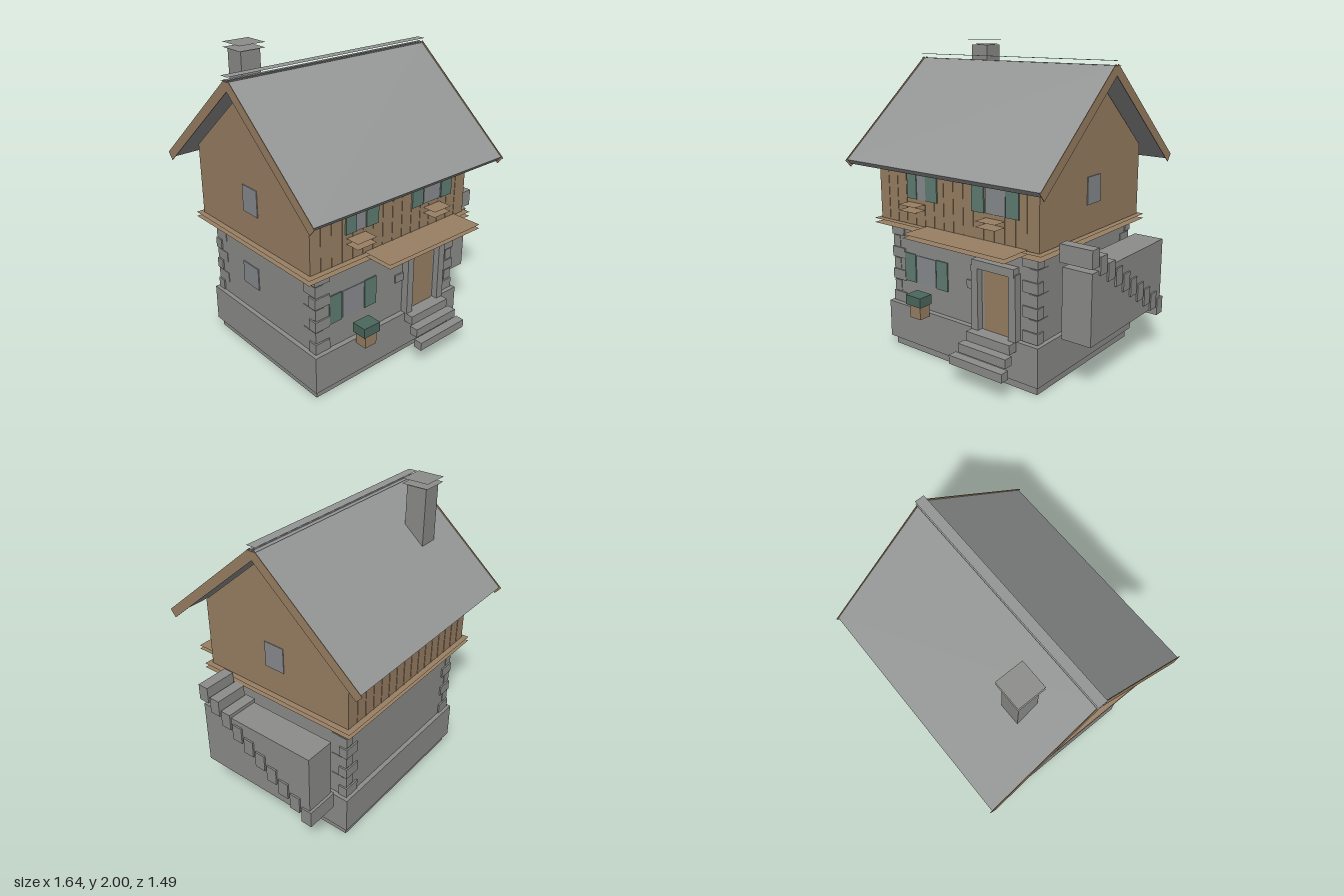
import * as THREE from 'three';

const mat = (name, color) => {
  const m = new THREE.MeshStandardMaterial({ color, side: THREE.DoubleSide });
  m.name = name;
  return m;
};

export function createModel() {
  const house = new THREE.Group();
  house.name = 'house';
  const stone = mat('stone grey', 0x8c8c8a);
  const roofing = mat('roof grey', 0x949695);
  const wood = mat('wood brown', 0x987f63);
  const green = mat('shutter green', 0x5f7d72);
  const leaf = mat('leaf green', 0x4b685e);
  const glass = mat('glass grey', 0x888b8f);

  const add = (name, geo, material, parent = house) => {
    const m = new THREE.Mesh(geo, material);
    m.name = name;
    parent.add(m);
    return m;
  };
  // box given by its limits on each axis
  const box = (name, material, x0, x1, y0, y1, z0, z1, parent) => {
    const m = add(name, new THREE.BoxGeometry(x1 - x0, y1 - y0, z1 - z0), material, parent);
    m.position.set((x0 + x1) / 2, (y0 + y1) / 2, (z0 + z1) / 2);
    return m;
  };
  // pair of horizontal sheets: a box without its four sides
  const sheets = (...args) => {
    const m = box(...args);
    m.geometry.setIndex(Array.from(m.geometry.index.array).slice(12, 24));
    m.geometry.clearGroups();
    return m;
  };
  // profile in (z, y) extruded from x0 to x1
  const extrudeX = (name, pts, x0, x1, material) => {
    const shape = new THREE.Shape(pts.map(([z, y]) => new THREE.Vector2(-z, y)));
    const geo = new THREE.ExtrudeGeometry(shape, { depth: x1 - x0, bevelEnabled: false });
    geo.rotateY(Math.PI / 2);
    geo.translate(x0, 0, 0);
    return add(name, geo, material);
  };

  // stone lower storey
  box('footing', stone, -0.64, 0.53, 0, 0.06, -0.525, 0.5);
  box('plinth', stone, -0.665, 0.555, 0.06, 0.31, -0.55, 0.53);
  box('stoneWalls', stone, -0.635, 0.525, 0.31, 0.845, -0.52, 0.495);

  // corner stones, alternating long and short
  const quoins = new THREE.Group();
  quoins.name = 'cornerStones';
  house.add(quoins);
  const course = 0.535 / 7;
  for (const sx of [-1, 1]) for (const sz of [-1, 1]) for (let i = 0; i < 7; i++) {
    const out = i % 2 ? 0.004 : 0.01;
    const lx = i % 2 ? 0.06 : 0.11, lz = i % 2 ? 0.11 : 0.06;
    const cx = sx > 0 ? 0.525 + out : -0.635 - out;
    const cz = sz > 0 ? 0.495 + out : -0.52 - out;
    const y = 0.31 + i * course;
    box('cornerStone', stone, Math.min(cx, cx - sx * lx), Math.max(cx, cx - sx * lx),
      y + 0.004, y + course - 0.004, Math.min(cz, cz - sz * lz), Math.max(cz, cz - sz * lz), quoins);
  }

  // wooden upper storey with gables
  const mid = -0.014;
  extrudeX('woodenStorey', [[0.535, 0.88], [0.535, 1.345], [mid, 1.815], [-0.56, 1.345], [-0.56, 0.88]],
    -0.7, 0.565, wood);
  for (let i = 1; i < 16; i++) {
    const x = -0.7 + i * 0.0785;
    box('frontBatten', wood, x - 0.004, x + 0.004, 0.88, 1.34, 0.535, 0.538);
    box('backBatten', wood, x - 0.004, x + 0.004, 0.88, 1.34, -0.563, -0.56);
  }
  sheets('floorBand', wood, -0.735, 0.6, 0.848, 0.877, -0.595, 0.57);
  sheets('doorCanopy', wood, -0.295, 0.485, 0.862, 0.887, 0.5, 0.745);

  // roof slopes and the verge boards at their ends
  const slope = (s, z0, y0, z1, y1, t) => {
    const len = Math.hypot(z1 - z0, y1 - y0);
    const nz = (y1 - y0) / len * t, ny = -(z1 - z0) / len * t;
    return [[z0, y0], [z1, y1], [z1 + nz, y1 + ny], [z0 + nz, y0 + ny]].map(([z, y]) => [mid + s * z, y]);
  };
  for (const s of [1, -1]) {
    extrudeX('roofSlope', slope(s, 0.006, 1.879, 0.72, 1.273, 0.038), -0.808, 0.696, roofing);
    for (const x of [-0.812, 0.696]) {
      extrudeX('vergeBoard', slope(s, 0.014, 1.886, 0.734, 1.27, 0.06), x, x + 0.004, wood);
    }
  }
  sheets('ridgeCap', roofing, -0.82, 0.706, 1.877, 1.904, -0.05, 0.012);

  // chimney
  box('chimney', stone, -0.57, -0.435, 1.5, 1.965, -0.36, -0.225);
  sheets('chimneyCap', stone, -0.59, -0.41, 1.968, 2, -0.382, -0.205);

  // upper front windows with shutters and sills
  const windows = [
    { g: [-0.44, -0.295], l: [-0.447, -0.368], r: [-0.29, -0.196] },
    { g: [0.185, 0.33], l: [0.082, 0.175], r: [0.336, 0.43] },
  ];
  for (const { g, l, r } of windows) {
    box('upperWindow', glass, ...g, 1.05, 1.235, 0.537, 0.541);
    for (const e of [l, r]) box('upperShutter', green, ...e, 1.05, 1.24, 0.537, 0.546);
    sheets('upperSill', wood, ...g, 0.99, 1.025, 0.54, 0.635);
  }

  // side windows
  box('leftGableWindow', glass, 0.563, 0.57, 1.06, 1.23, -0.085, 0.058);
  box('rightGableWindow', glass, -0.705, -0.698, 1.06, 1.23, -0.085, 0.058);
  box('rightStoneWindow', glass, -0.641, -0.633, 0.49, 0.64, -0.22, -0.06);

  // lower front window, shutters and flower box
  box('lowerWindow', glass, -0.43, -0.265, 0.48, 0.66, 0.494, 0.5);
  box('lowerShutter', green, -0.535, -0.44, 0.475, 0.665, 0.494, 0.503);
  box('lowerShutter', green, -0.257, -0.163, 0.475, 0.665, 0.494, 0.503);
  box('flowerBox', wood, -0.37, -0.28, 0.3, 0.388, 0.55, 0.632);
  box('plant', leaf, -0.39, -0.333, 0.386, 0.45, 0.545, 0.645);
  box('plant', leaf, -0.333, -0.265, 0.386, 0.45, 0.545, 0.645);

  // door and its surround
  box('doorBacking', stone, 0.12, 0.352, 0.31, 0.72, 0.494, 0.502);
  box('door', wood, 0.14, 0.335, 0.31, 0.705, 0.5, 0.507);
  box('doorJamb', stone, 0.07, 0.12, 0.31, 0.72, 0.495, 0.545);
  box('doorJamb', stone, 0.352, 0.405, 0.31, 0.72, 0.495, 0.545);
  box('doorHead', stone, 0.08, 0.395, 0.705, 0.757, 0.495, 0.55);
  box('wallPlate', stone, 0, 0.07, 0.545, 0.598, 0.495, 0.505);

  // front steps
  box('frontStep', stone, 0.07, 0.4, 0.25, 0.31, 0.53, 0.595);
  box('frontStep', stone, 0.055, 0.418, 0.193, 0.25, 0.595, 0.655);
  box('frontStep', stone, 0.035, 0.438, 0.135, 0.19, 0.655, 0.715);

  // side stair: a solid block with ten steps running down to the back
  box('stairBlock', stone, 0.608, 0.807, 0.33, 0.77, -0.47, 0.372);
  for (let i = 0; i < 10; i++) {
    const z = 0.355 - i * 0.0895, y = 0.857 - i * 0.0592;
    box('stairStep', stone, 0.6, 0.818, y - 0.055, y + 0.055, z - 0.037, z + 0.037);
  }
  return house;
}
